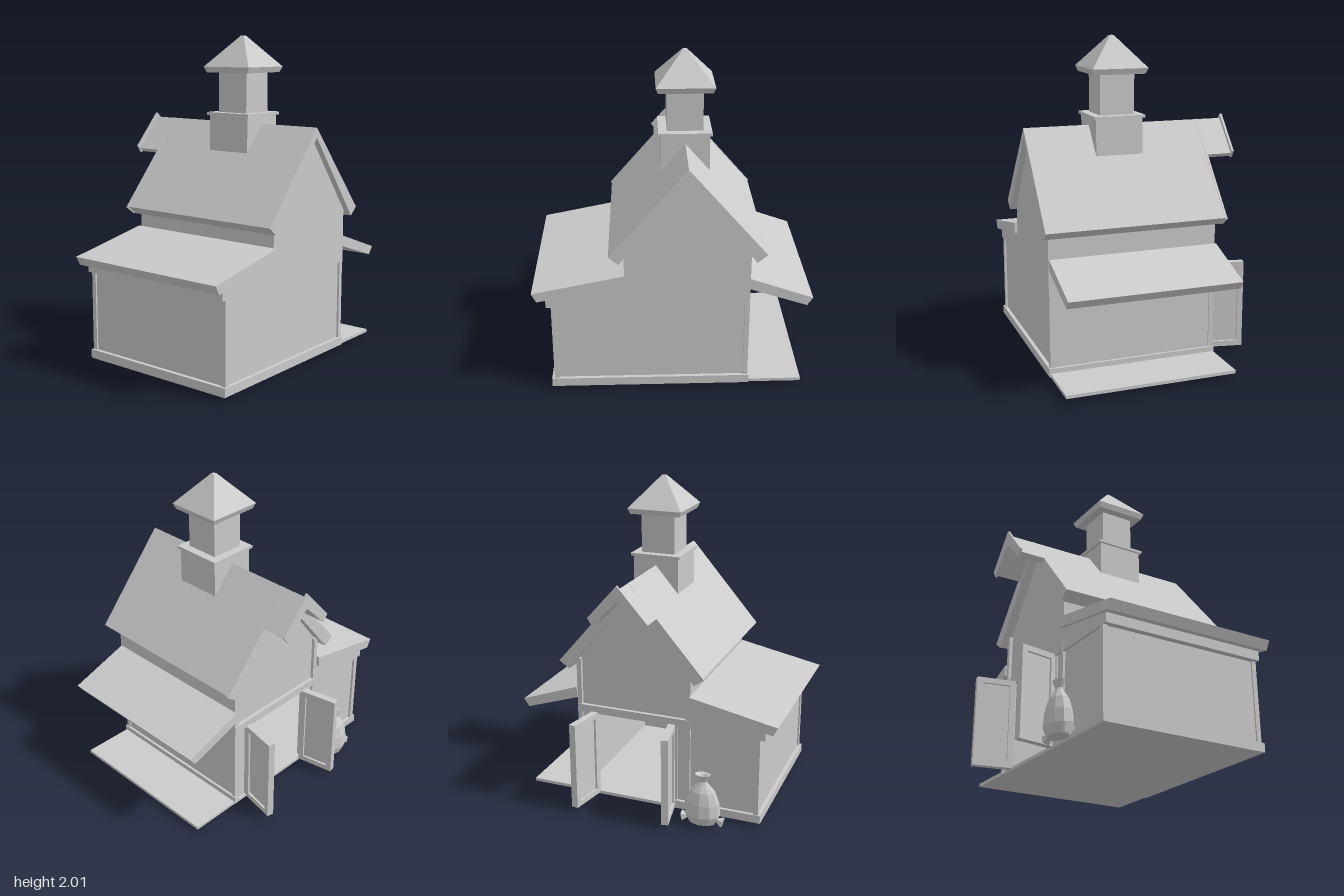
import * as THREE from 'three';

const MID = 0.085; // x of the ridge
const mat = new THREE.MeshStandardMaterial({ color: 0xcccccc, flatShading: true, side: THREE.DoubleSide });

export function createModel() {
  const model = new THREE.Group();

  const add = (name, geo, parent = model) => {
    const m = new THREE.Mesh(geo, mat);
    m.name = name;
    parent.add(m);
    return m;
  };
  // Box from its min and max corners
  const box = (name, x0, x1, y0, y1, z0, z1, parent) => {
    const g = new THREE.BoxGeometry(x1 - x0, y1 - y0, z1 - z0);
    g.translate((x0 + x1) / 2, (y0 + y1) / 2, (z0 + z1) / 2);
    return add(name, g, parent);
  };
  // Front outline extruded from z0 to z1
  const slab = (name, pts, z0, z1) => {
    const shape = new THREE.Shape(pts.map(([x, y]) => new THREE.Vector2(x, y)));
    const g = new THREE.ExtrudeGeometry(shape, { depth: z1 - z0, bevelEnabled: false });
    g.translate(0, 0, z0);
    return add(name, g);
  };
  // Folded roof outline: outer eave, inner eave and both ridge heights
  const gable = (name, half, yOut, halfIn, yIn, ridge, ridgeIn, z0, z1) => slab(name, [
    [MID, ridge], [MID - half, yOut], [MID - halfIn, yIn],
    [MID, ridgeIn], [MID + halfIn, yIn], [MID + half, yOut],
  ], z0, z1);
  // Square tapered block
  const frustum = (name, rBottom, rTop, y0, y1) => {
    const g = new THREE.CylinderGeometry(rTop * Math.SQRT2, rBottom * Math.SQRT2, y1 - y0, 4);
    g.rotateY(Math.PI / 4);
    g.translate(MID, (y0 + y1) / 2, 0.11);
    return add(name, g);
  };

  // Floors and sills
  box('floor', -0.745, 0.465, 0.015, 0.035, -0.43, 0.635);
  box('sideFloor', 0.465, 0.79, 0.018, 0.038, -0.43, 0.63);
  box('frontSill', -0.745, 0.468, 0.02, 0.07, 0.605, 0.637);
  box('rightSill', -0.745, -0.71, 0.02, 0.07, -0.435, 0.63);
  box('leftSill', 0.44, 0.468, 0.02, 0.07, -0.435, 0.63);
  box('backSill', -0.745, -0.18, 0.02, 0.07, -0.435, -0.4);

  // Lower walls, set back between corner posts
  box('frontWall', -0.72, 0.45, 0.03, 0.58, 0.6, 0.615);
  box('rightWall', -0.72, -0.705, 0.03, 0.58, -0.415, 0.615);
  box('leftWall', 0.435, 0.452, 0.03, 0.58, -0.415, 0.615);
  box('backWallLeanTo', -0.72, -0.18, 0.03, 0.58, -0.415, -0.4);
  box('backWallBesideDoor', 0.333, 0.45, 0.03, 0.58, -0.415, -0.4);
  for (const x of [-0.73, 0.43]) for (const z of [-0.43, 0.598])
    box('cornerPost', x, x + 0.03, 0.03, 0.6, z, z + 0.03);

  // Upper walls
  slab('upperWalls', [
    [-0.29, 0.57], [0.46, 0.57], [0.46, 0.92], [MID, 1.405], [-0.29, 0.92],
  ], -0.41, 0.63);
  slab('leanToUpperWall', [[-0.76, 0.57], [-0.29, 0.57], [-0.29, 0.74], [-0.76, 0.65]], -0.43, 0.63);

  // Back gable framing around the doorway
  for (const x of [-0.29, 0.43]) box('gablePost', x, x + 0.03, 0.03, 0.93, -0.43, -0.4);
  box('doorBeam', -0.29, 0.46, 0.575, 0.625, -0.433, -0.4);
  for (const x of [-0.205, 0.333]) box('doorJamb', x, x + 0.03, 0.03, 0.58, -0.425, -0.395);

  // Main roof, with its hood over the back gable
  gable('mainRoof', 0.465, 0.92, 0.405, 0.87, 1.46, 1.4, -0.455, 0.668);
  gable('mainRoofTrim', 0.473, 0.915, 0.41, 0.87, 1.462, 1.38, -0.468, -0.455);
  gable('hood', 0.176, 1.26, 0.15, 1.237, 1.46, 1.395, -0.625, -0.455);
  gable('hoodTrim', 0.19, 1.275, 0.16, 1.23, 1.488, 1.39, -0.64, -0.625);

  // Side roofs
  slab('leanToRoof', [[-0.84, 0.675], [-0.81, 0.62], [-0.29, 0.715], [-0.29, 0.785]], -0.45, 0.65);
  slab('awning', [[0.46, 0.67], [0.805, 0.555], [0.84, 0.605], [0.46, 0.74]], -0.44, 0.625);

  // Cupola
  frustum('cupolaBase', 0.148, 0.148, 1.2, 1.51);
  frustum('cupolaLedge', 0.162, 0.162, 1.51, 1.528);
  frustum('cupolaShaft', 0.109, 0.109, 1.528, 1.785);
  frustum('cupolaEave', 0.162, 0.176, 1.775, 1.81);
  frustum('cupolaRoof', 0.176, 0.012, 1.81, 2.0);

  // Doors standing open, framed around a thin panel
  for (const side of [-1, 1]) {
    const door = new THREE.Group();
    door.name = side < 0 ? 'rightDoor' : 'leftDoor';
    const w = 0.245, t = 0.022;
    box('doorPanel', -0.008, 0.008, 0.04, 0.57, -w + 0.02, -0.01, door);
    for (const z of [-w, -0.035]) box('doorStile', -t, t, 0.025, 0.585, z, z + 0.035, door);
    for (const y of [0.025, 0.55]) box('doorRail', -t, t, y, y + 0.035, -w, 0, door);
    door.position.set(MID + side * 0.255, 0, -0.425);
    door.rotation.y = -side * 0.19;
    model.add(door);
  }

  // Tied sack beside the doors
  const sack = new THREE.Group();
  sack.name = 'sack';
  const profile = [
    [0, 0], [0.085, 0.005], [0.112, 0.06], [0.105, 0.14], [0.078, 0.215],
    [0.035, 0.265], [0.026, 0.28], [0.05, 0.325], [0.03, 0.318], [0, 0.29],
  ].map(([r, y]) => new THREE.Vector2(r, y));
  add('sackBody', new THREE.LatheGeometry(profile, 10), sack).scale.z = 0.66;
  for (const s of [-1, 1]) {
    const ear = add('sackCorner', new THREE.ConeGeometry(0.035, 0.06, 5), sack);
    ear.position.set(s * 0.1, 0.028, 0);
    ear.rotation.z = s * 1.35;
  }
  sack.position.set(-0.405, 0.005, -0.515);
  model.add(sack);

  return model;
}
